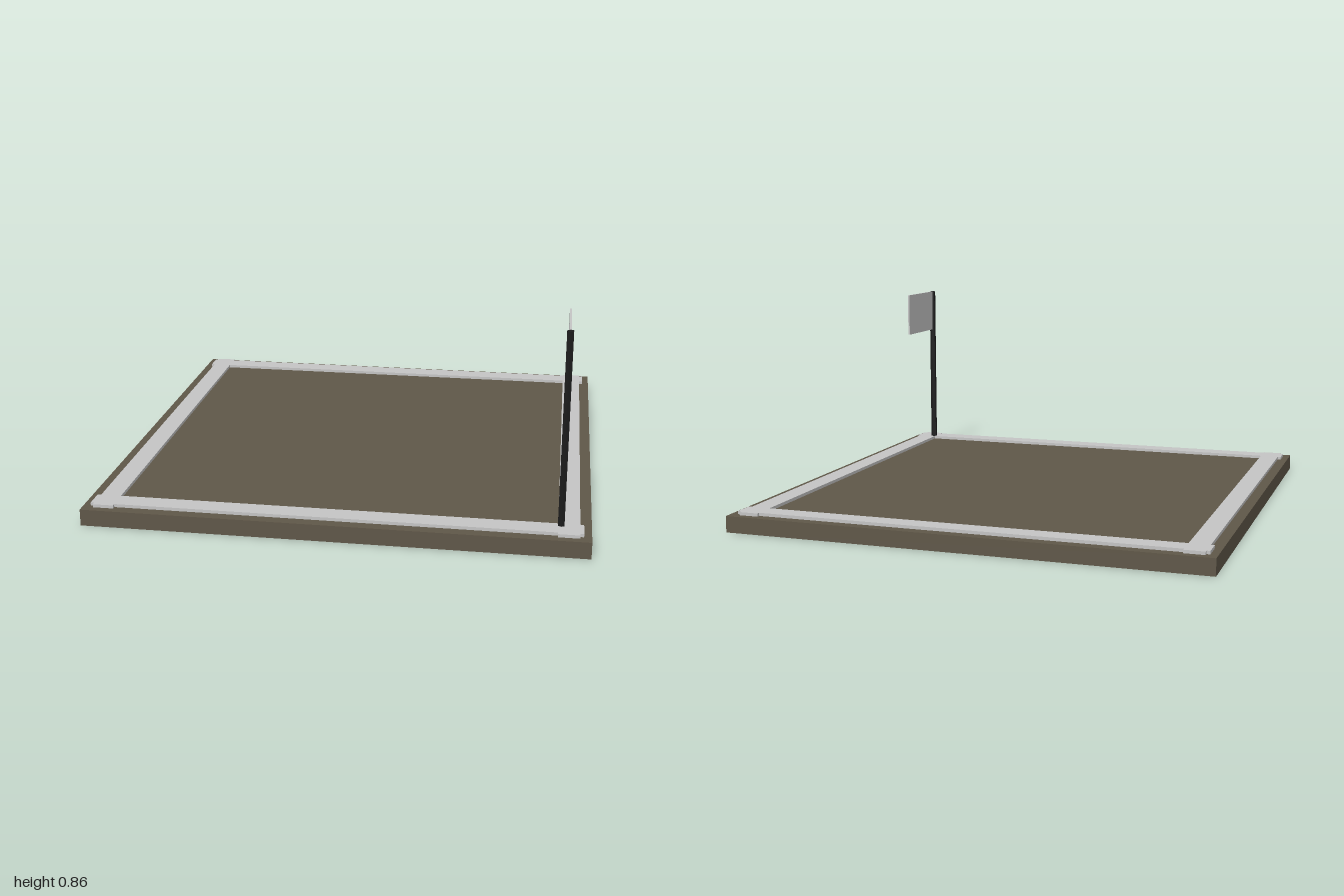
import * as THREE from 'three';

const mat = (name, color) => {
  const m = new THREE.MeshStandardMaterial({ color, flatShading: true });
  m.name = name;
  return m;
};

export function createModel() {
  const group = new THREE.Group();
  const earth = mat('earth brown', 0x5f5748);
  const pale = mat('pale grey', 0xc4c4c4);
  const black = mat('black', 0x1c1c1c);

  const add = (name, geometry, material, x, y, z) => {
    const mesh = new THREE.Mesh(geometry, material);
    mesh.name = name;
    mesh.position.set(x, y, z);
    group.add(mesh);
  };
  const box = (name, w, h, d, material, x, y, z) =>
    add(name, new THREE.BoxGeometry(w, h, d), material, x, y, z);

  // Square ground slab
  box('groundSlab', 2, 0.068, 2, earth, 0, 0.034, 0);

  // Border strips that cross and overhang slightly at the corners
  const length = 1.94, width = 0.083, offset = 0.914;
  for (const side of [-1, 1]) {
    box(side > 0 ? 'leftBorder' : 'rightBorder', width, 0.014, length, pale, side * offset, 0.074, 0);
    box(side > 0 ? 'frontBorder' : 'backBorder', length, 0.014, width, pale, 0, 0.074, side * offset);
  }

  // Hexagonal flagpole on the front left corner
  add('flagPole', new THREE.CylinderGeometry(0.0145, 0.0145, 0.787, 6), black, 0.883, 0.4615, 0.888);

  // Flag trailing toward the back
  box('flag', 0.008, 0.2, 0.31, pale, 0.883, 0.755, 0.733);

  return group;
}
